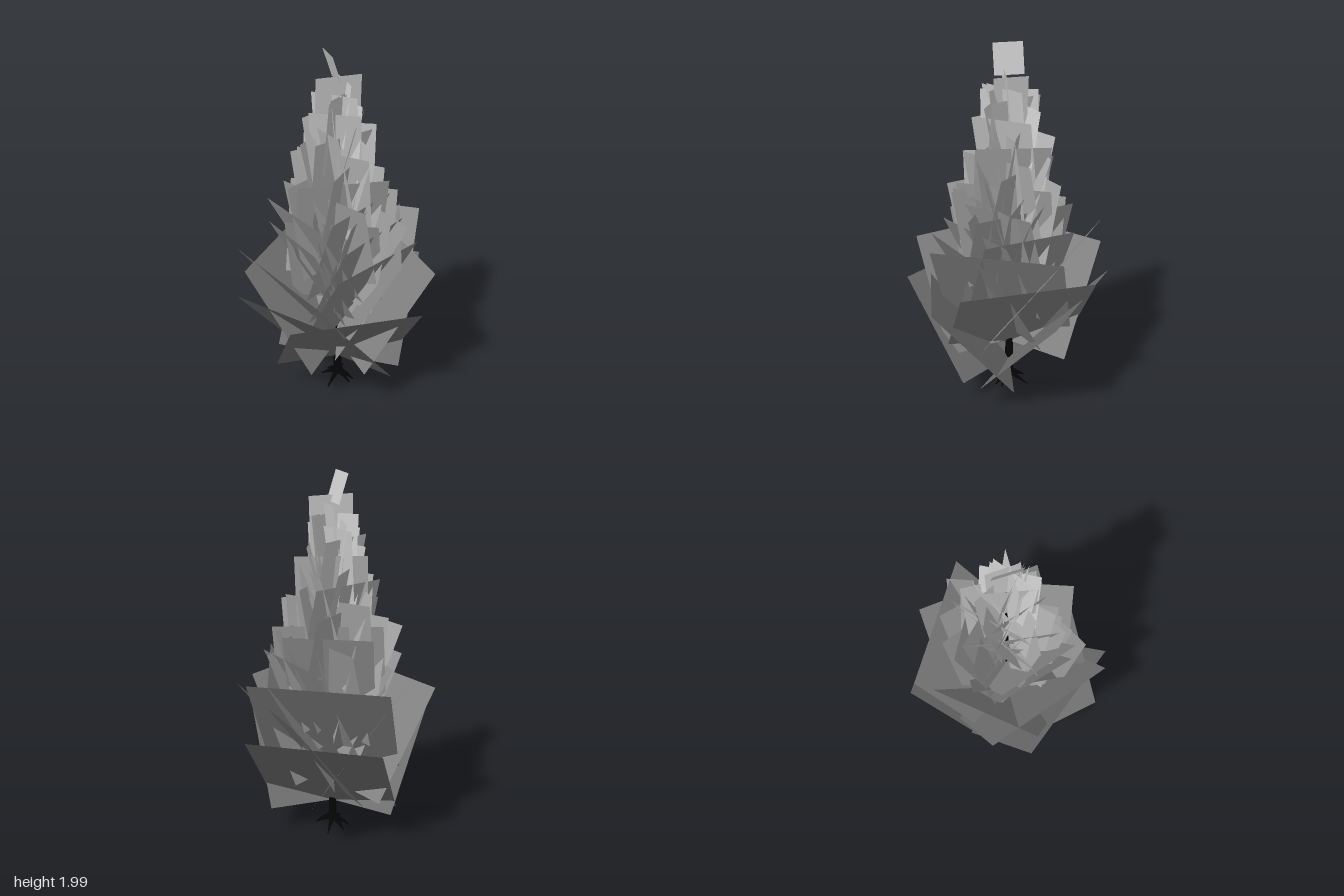
import * as THREE from 'three';

const CX = -0.02; // trunk axis

// Small seeded generator for irregularity
function seeded(seed) {
  return () => (seed = (seed * 16807) % 2147483647) / 2147483647;
}

// Flat foliage card: its lower edge crosses the trunk, its top leans outward
function card(azimuth, bottom, top, width, reach, roll = 0) {
  const height = top - bottom;
  const geo = new THREE.PlaneGeometry(width, Math.hypot(height, reach));
  geo.translate(0, geo.parameters.height / 2, 0);
  const shade = THREE.MathUtils.clamp(0.1 + (top - 0.5) * 0.36, 0.1, 0.55);
  const mesh = new THREE.Mesh(geo, new THREE.MeshStandardMaterial({
    color: new THREE.Color(shade, shade, shade), side: THREE.DoubleSide }));
  mesh.rotation.set(Math.atan2(reach, height), THREE.MathUtils.degToRad(azimuth), roll, 'YXZ');
  mesh.position.set(CX, bottom, 0);
  mesh.name = 'foliageCard';
  return mesh;
}

// Linear lookup in [height, value] pairs
function lookup(pairs, y) {
  for (let i = 1; i < pairs.length; i++) {
    const [y0, a] = pairs[i - 1], [y1, b] = pairs[i];
    if (y <= y1) return a + (b - a) * (y - y0) / (y1 - y0);
  }
  return pairs[pairs.length - 1][1];
}

export function createModel() {
  const tree = new THREE.Group();
  tree.name = 'tree';
  const bark = new THREE.MeshStandardMaterial({ color: 0x050505 });

  // Trunk
  const trunk = new THREE.Mesh(new THREE.CylinderGeometry(0.005, 0.024, 1.6, 8), bark);
  trunk.position.set(CX, 0.84, 0);
  trunk.name = 'trunk';
  tree.add(trunk);

  // Splayed, tapering roots
  const roots = new THREE.Group();
  roots.name = 'roots';
  for (let i = 0; i < 6; i++) {
    const a = i * Math.PI / 3 + 0.35 * Math.sin(i * 2.3);
    const r = 0.1 + 0.015 * Math.cos(i * 2.1);
    const path = [[0, 0.085, 0.018], [0.025, 0.05, 0.015], [0.06, 0.034, 0.01], [r, 0.012, 0.003]];
    for (let k = 1; k < path.length; k++) {
      const [p, q] = [path[k - 1], path[k]].map(([d, y]) =>
        new THREE.Vector3(CX + d * Math.sin(a), y, d * Math.cos(a)));
      const root = new THREE.Mesh(
        new THREE.CylinderGeometry(path[k][2], path[k - 1][2], p.distanceTo(q) + 0.006, 6), bark);
      root.position.copy(p).lerp(q, 0.5);
      root.quaternion.setFromUnitVectors(new THREE.Vector3(0, 1, 0), q.clone().sub(p).normalize());
      root.name = 'root';
      roots.add(root);
    }
  }
  tree.add(roots);

  // Large lower cards: azimuth, bottom, top, width, reach
  const lower = new THREE.Group();
  lower.name = 'lowerFoliage';
  [
    [42, 0.16, 0.66, 0.71, 0.43],
    [-6, 0.16, 0.665, 0.73, 0.43],
    [191, 0.16, 0.66, 0.72, 0.445],
    [142, 0.27, 0.81, 0.72, 0.41],
    [-25, 0.28, 0.84, 0.75, 0.405],
    [-85, 0.27, 0.84, 0.72, 0.38],
    [193, 0.4, 0.965, 0.74, 0.4],
    [116, 0.38, 0.97, 0.7, 0.34],
    [73, 0.36, 0.92, 0.6, 0.31],
    [-28, 0.48, 1.03, 0.45, 0.29],
    [150, 0.5, 1.04, 0.5, 0.28],
    [80, 0.52, 1.04, 0.5, 0.25],
    [-50, 0.5, 0.98, 0.45, 0.26],
    [197, 0.66, 1.18, 0.47, 0.22],
    [-25, 0.64, 1.18, 0.46, 0.29],
    [95, 0.66, 1.155, 0.48, 0.18],
  ].forEach((c) => lower.add(card(...c)));
  tree.add(lower);

  // Upper cards spiral up the trunk, nearly upright and ever smaller
  const upper = new THREE.Group();
  upper.name = 'upperFoliage';
  const rand = seeded(4711);
  const radius = [[1, 0.36], [1.2, 0.34], [1.33, 0.31], [1.47, 0.255], [1.67, 0.19], [1.8, 0.16]];
  const count = 25;
  for (let i = 0; i < count; i++) {
    const t = i / (count - 1);
    const top = 1.1 + 0.68 * t;
    const r = lookup(radius, top) * (0.85 + 0.15 * rand());
    const reach = r * (0.25 + 0.35 * rand());
    const width = 1.9 * Math.sqrt(r * r - reach * reach);
    upper.add(card(i * 137.5 + 30 * rand(), top - (0.54 - 0.12 * t), top, width, reach,
      (rand() - 0.5) * 0.08));
  }
  // Crown and leaning tip
  upper.add(card(5, 1.45, 1.78, 0.25, 0.04));
  upper.add(card(85, 1.4, 1.78, 0.24, 0.04));
  upper.add(card(45, 1.5, 1.875, 0.24, 0.03));
  upper.add(card(140, 1.5, 1.84, 0.18, 0.04));
  upper.add(card(-42, 1.84, 1.995, 0.155, 0.05));
  tree.add(upper);
  return tree;
}
